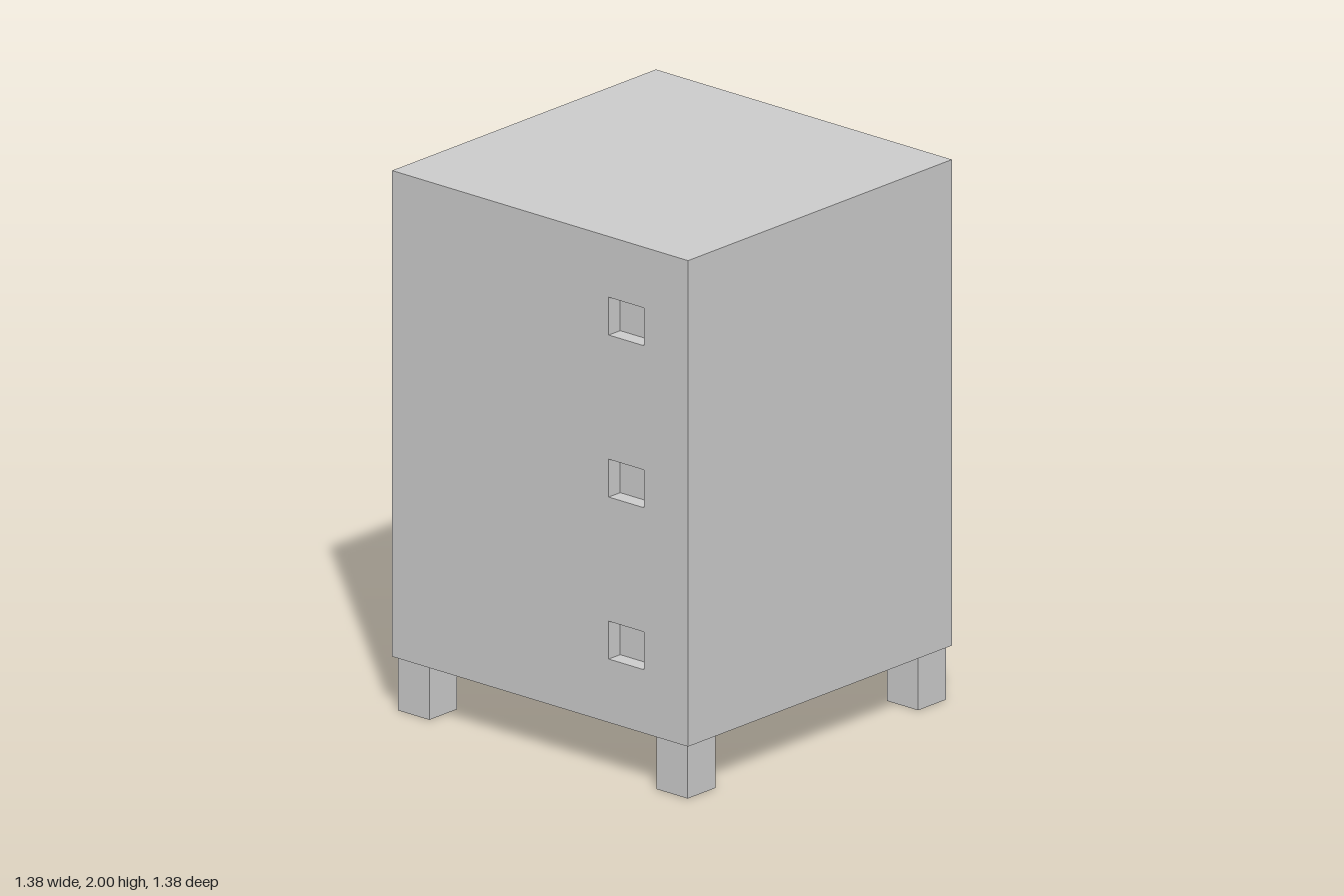
import * as THREE from 'three';

const grey = new THREE.MeshStandardMaterial({ color: 0xcccccc });

const HALF = 0.69;     // half width and depth of the cabinet
const BASE = 0.2, TOP = 2;
const WALL = 0.09;     // wall thickness
const SKIN = 0.06;     // depth of the side pockets
const INNER = HALF - WALL;
const FLOOR = 0.3, CEILING = 1.9;

// Box given by its lower and upper bounds on each axis
function box(name, [x0, x1], [y0, y1], [z0, z1]) {
  const mesh = new THREE.Mesh(new THREE.BoxGeometry(x1 - x0, y1 - y0, z1 - z0), grey);
  mesh.position.set((x0 + x1) / 2, (y0 + y1) / 2, (z0 + z1) / 2);
  mesh.name = name;
  return mesh;
}

function rectangle(PathType, x0, x1, y0, y1) {
  return new PathType([[x0, y0], [x1, y0], [x1, y1], [x0, y1]].map(p => new THREE.Vector2(...p)));
}

function extrude(name, shape, depth) {
  const mesh = new THREE.Mesh(new THREE.ExtrudeGeometry(shape, { depth, bevelEnabled: false }), grey);
  mesh.name = name;
  return mesh;
}

export function createModel() {
  const model = new THREE.Group();
  model.name = 'cabinet';

  // Hollow casing, open at the back, closed by the front panel
  const ring = rectangle(THREE.Shape, -HALF + SKIN, HALF, BASE, TOP);
  ring.holes.push(rectangle(THREE.Path, -INNER, INNER, FLOOR, CEILING));
  const casing = extrude('casing', ring, HALF + INNER);
  casing.position.z = -HALF;
  model.add(casing);
  model.add(box('frontPanel', [-HALF + SKIN, HALF], [BASE, TOP], [INNER, HALF]));

  // Outer skin of one side with three square pockets
  const side = rectangle(THREE.Shape, -HALF, HALF, BASE, TOP);
  for (const y of [0.505, 1.105, 1.705]) {
    side.holes.push(rectangle(THREE.Path, 0.32, 0.485, y - 0.07, y + 0.07));
  }
  const sideSkin = extrude('pocketedSide', side, SKIN);
  sideSkin.rotation.y = -Math.PI / 2;
  sideSkin.position.x = -HALF + SKIN;
  model.add(sideSkin);

  // Corner posts that run down into feet
  const near = 0.53, far = 0.675;
  for (const sx of [-1, 1]) {
    for (const sz of [-1, 1]) {
      const span = s => (s > 0 ? [near, far] : [-far, -near]);
      model.add(box('cornerPost', span(sx), [0, CEILING + 0.02], span(sz)));
    }
  }

  // Off-centre column, panel behind it and slats across the opening
  model.add(box('column', [0.085, 0.36], [0, CEILING + 0.02], [-0.6, -0.32]));
  model.add(box('innerPanel', [-INNER, INNER], [FLOOR, CEILING], [-0.455, -0.4]));
  for (let i = 0; i < 3; i++) {
    const bottom = 0.43 + i * 0.527;
    model.add(box('slat', [-near, near], [bottom, bottom + 0.267], [-0.617, -0.51]));
  }
  return model;
}
